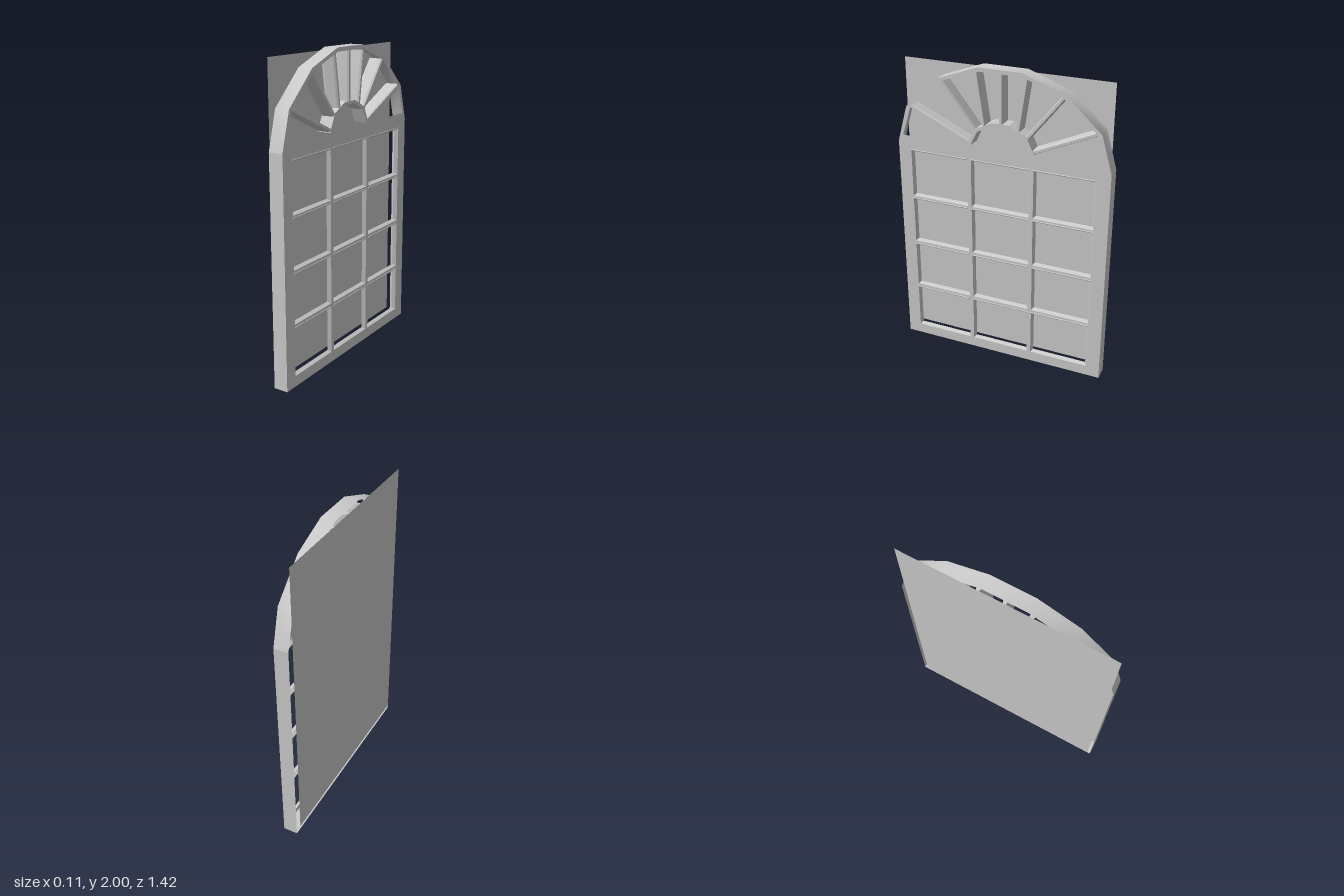
import * as THREE from 'three';
import { mergeVertices } from 'three/addons/utils/BufferGeometryUtils.js';

const FRONT = 0.049, BACK = -0.046;
const flat = new THREE.MeshStandardMaterial({ color: 0xcccccc, flatShading: true });
const thin = new THREE.MeshStandardMaterial({ color: 0xcccccc, flatShading: true, side: THREE.DoubleSide });
const smooth = new THREE.MeshStandardMaterial({ color: 0xcccccc, side: THREE.DoubleSide });

// Adds a named mesh to a parent
function add(parent, name, geometry, material = flat) {
  const mesh = new THREE.Mesh(geometry, material);
  mesh.name = name;
  parent.add(mesh);
  return mesh;
}

// Band of quads between two runs of points lying at two depths
function band(runA, wA, runB, wB) {
  const pos = [];
  for (let i = 0; i < runA.length - 1; i++) {
    const p = [[...runA[i], wA], [...runA[i + 1], wA], [...runB[i + 1], wB], [...runB[i], wB]];
    for (const k of [0, 1, 2, 0, 2, 3]) pos.push(...p[k]);
  }
  const g = new THREE.BufferGeometry();
  g.setAttribute('position', new THREE.Float32BufferAttribute(pos, 3));
  g.computeVertexNormals();
  return g;
}

// Right half of an arch, mirrored into a full run from right foot to left foot
const mirrored = half => [...half, ...half.map(([u, v]) => [-u, v]).reverse()];
const closed = loop => [...loop, loop[0]];
const points = loop => loop.map(([u, v]) => new THREE.Vector2(u, v));
const rect = (u0, u1, v0, v1) => [[u0, v0], [u1, v0], [u1, v1], [u0, v1]];

export function createModel() {
  const model = new THREE.Group();
  model.name = 'archedWindow';
  // Built facing +z, then turned so the window faces +x
  const win = new THREE.Group();
  win.name = 'window';
  win.rotation.y = Math.PI / 2;
  model.add(win);

  // Arch, fan opening and the twelve lights
  const arch = mirrored([[0.708, 1.457], [0.64, 1.695], [0.412, 1.902], [0.143, 2]]);
  const base = [[-0.708, 1.457], [-0.708, 0], [0.708, 0], [0.708, 1.457]];
  const fan = mirrored([[0.673, 1.5], [0.612, 1.69], [0.393, 1.887], [0.14, 1.975]]);
  const columns = [[-0.62, -0.225], [-0.198, 0.196], [0.222, 0.617]];
  const rows = [[0.07, 0.38], [0.405, 0.72], [0.745, 1.06], [1.08, 1.4]];

  // Frame: front face with holes and an outer wall, open at the back
  const face = new THREE.Shape(points([...arch, [-0.708, 0], [0.708, 0]]));
  face.holes.push(new THREE.Path(points(fan)));
  const lights = new THREE.Group();
  lights.name = 'lights';
  win.add(lights);
  for (const [u0, u1] of columns) for (const [v0, v1] of rows) {
    const hole = rect(u0, u1, v0, v1), b = 0.012;
    face.holes.push(new THREE.Path(points(hole)));
    // Sloping reveal around the light
    const inner = rect(u0 + b, u1 - b, v0 + b, v1 - b);
    add(lights, 'lightReveal', band(closed(hole), FRONT, closed(inner), FRONT - 0.024), thin);
    // Slim bead over the light
    const bead = add(lights, 'lightBead', new THREE.CylinderGeometry(0.005, 0.005, u1 - u0, 6));
    bead.rotation.z = Math.PI / 2;
    bead.position.set((u0 + u1) / 2, v1 + 0.005, FRONT);
  }
  add(win, 'frameFace', new THREE.ShapeGeometry(face).translate(0, 0, FRONT), thin);
  add(win, 'frameWall', band(base, BACK, base, FRONT), thin);

  // Arch wall: one smoothly shaded sweep
  const sweep = band(arch, BACK, arch, FRONT);
  sweep.deleteAttribute('normal');
  const archWall = mergeVertices(sweep);
  archWall.computeVertexNormals();
  add(win, 'archWall', archWall, smooth);

  // Hub: small arched band at the foot of the fan
  const hubOuter = mirrored([[0.222, 1.5], [0.17, 1.61], [0.057, 1.665]]);
  const hubInner = mirrored([[0.2, 1.5], [0.155, 1.594], [0.052, 1.645]]);
  const hub = new THREE.Shape(points([...hubOuter, ...hubInner.reverse()]));
  add(win, 'fanHub', new THREE.ExtrudeGeometry(hub, { depth: 0.09, bevelEnabled: false }).translate(0, 0, BACK));

  // Spokes: narrow, deep blades with chamfered edges, from hub to arch
  const blade = new THREE.Shape(points([
    [0.013, -0.035], [0.013, 0.035], [0.008, 0.048], [-0.008, 0.048],
    [-0.013, 0.035], [-0.013, -0.035], [-0.008, -0.048], [0.008, -0.048]]));
  const half = [[0.215, 1.515, 0.615, 1.695], [0.173, 1.6, 0.4, 1.885], [0.113, 1.637, 0.163, 1.965]];
  const spokes = [...half, ...half.map(([a, b, c, d]) => [-a, b, -c, d]), [0, 1.66, 0, 1.975]];
  for (const [u0, v0, u1, v1] of spokes) {
    const du = u1 - u0, dv = v1 - v0;
    const bar = new THREE.ExtrudeGeometry(blade, { depth: Math.hypot(du, dv), bevelEnabled: false });
    const spoke = add(win, 'fanSpoke', bar.rotateX(-Math.PI / 2));
    spoke.rotation.z = -Math.atan2(du, dv);
    spoke.position.set(u0, v0, -0.0055);
  }

  // Single pane behind everything
  add(win, 'pane', new THREE.PlaneGeometry(1.365, 1.94).translate(-0.007, 1.01, -0.0545), thin);
  return model;
}
